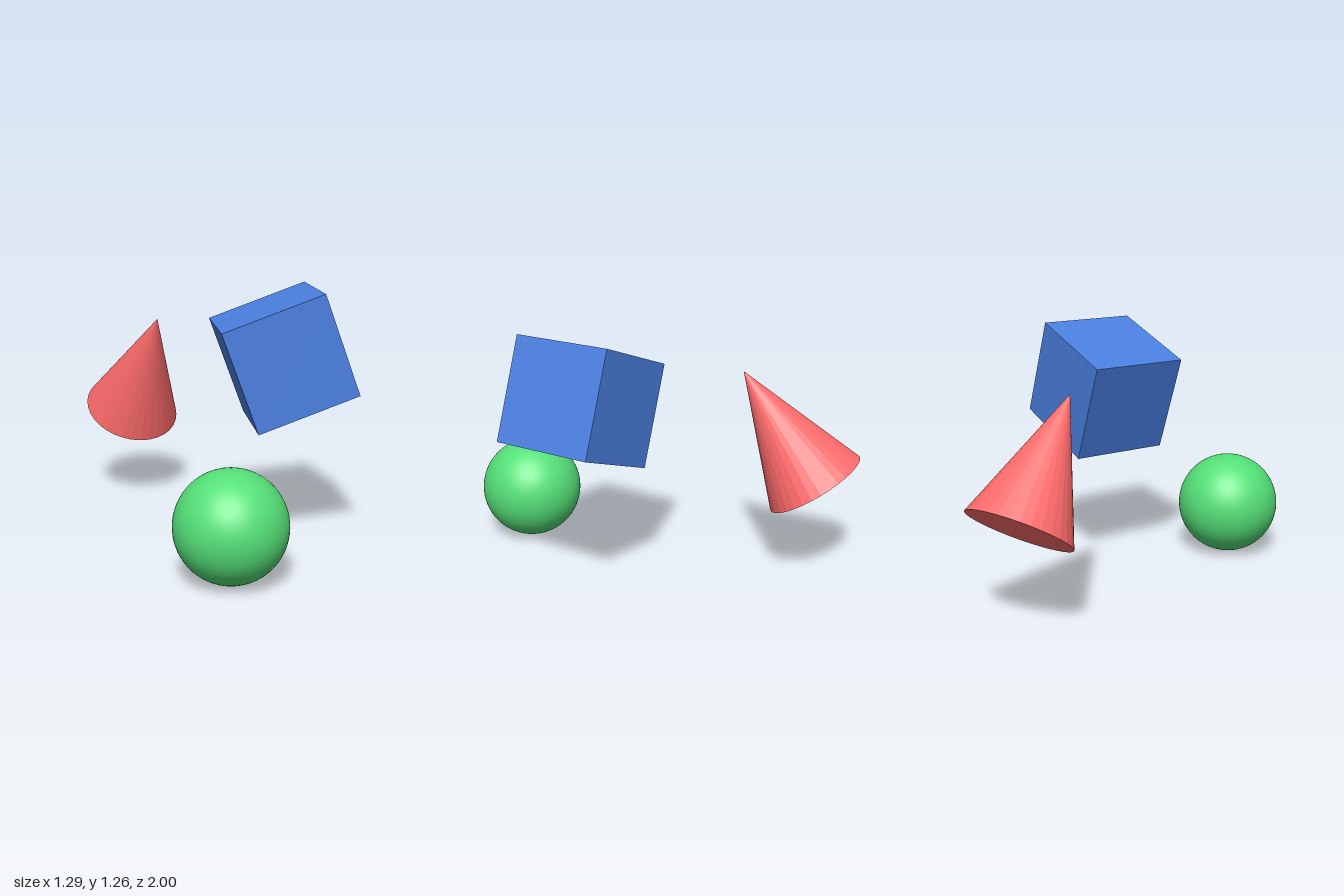
import * as THREE from 'three';

function part(name, geometry, color, position, flatShading = false) {
  const mesh = new THREE.Mesh(geometry, new THREE.MeshStandardMaterial({ color, flatShading }));
  mesh.name = name;
  mesh.position.copy(position);
  return mesh;
}

export function createModel() {
  const group = new THREE.Group();
  group.name = 'primitiveShapes';

  // Cube, tilted about the front-to-back axis
  const cube = part('cube', new THREE.BoxGeometry(0.518, 0.518, 0.518), 0x4a7fe0,
    new THREE.Vector3(0.31, 0.927, 0.14));
  cube.rotation.z = THREE.MathUtils.degToRad(20);
  group.add(cube);

  // Ball resting on the ground
  group.add(part('ball', new THREE.SphereGeometry(0.265, 64, 32), 0x55e078,
    new THREE.Vector3(-0.02, 0.265, 0.735)));

  // Cone, leaning from the centre of its base towards its tip
  const base = new THREE.Vector3(-0.391, 0.479, -0.779);
  const tip = new THREE.Vector3(-0.264, 1.036, -0.427);
  const axis = tip.clone().sub(base);
  const cone = part('cone', new THREE.ConeGeometry(0.259, axis.length(), 32), 0xff6b6b,
    base.clone().lerp(tip, 0.5), true);
  cone.quaternion.setFromUnitVectors(new THREE.Vector3(0, 1, 0), axis.normalize());
  group.add(cone);

  return group;
}
